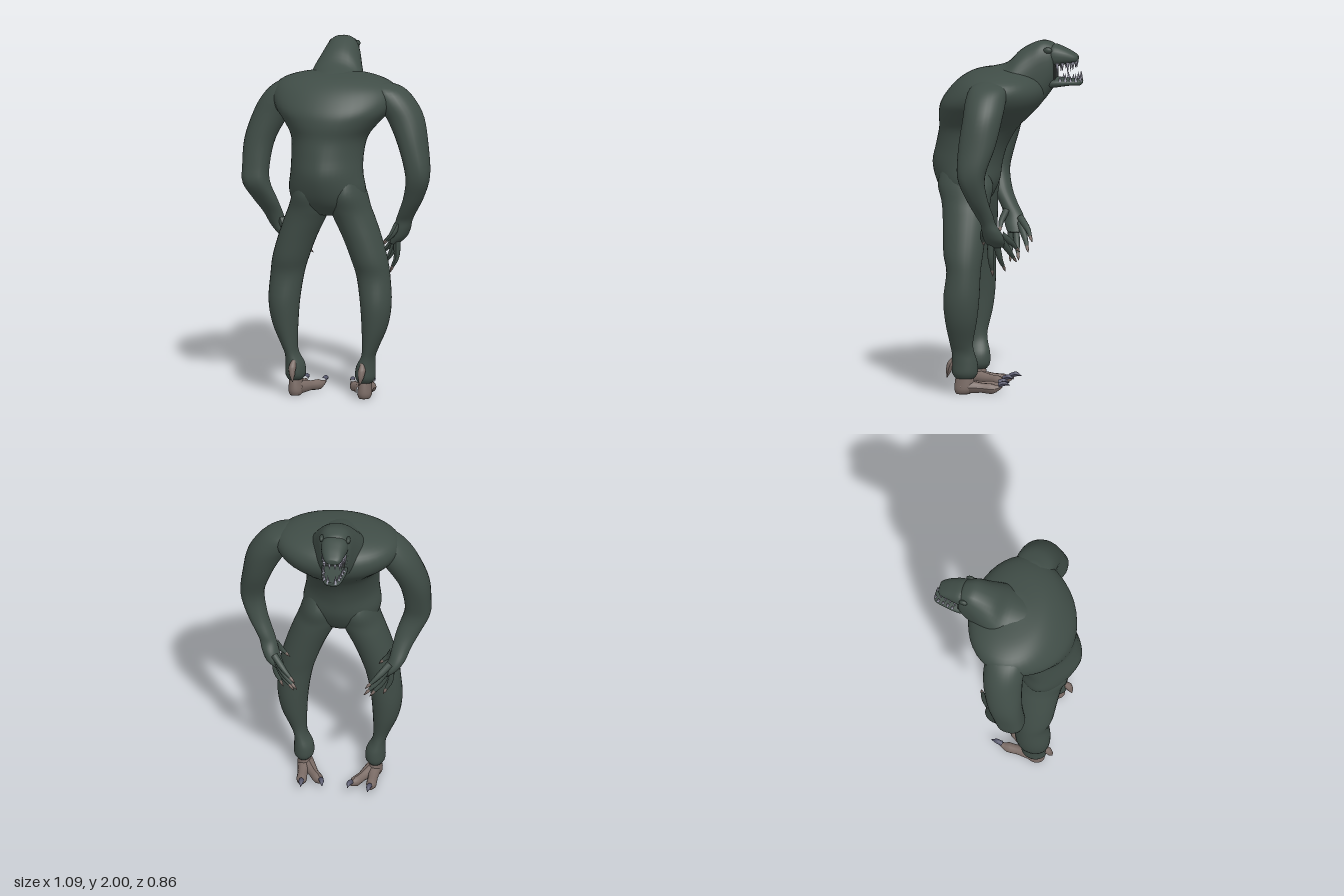
import * as THREE from 'three';

const mat = (name, color) => {
  const m = new THREE.MeshStandardMaterial({ color });
  m.name = name;
  return m;
};

export function createModel() {
  const root = new THREE.Group();
  root.name = 'reptileCreature';
  const skin = mat('darkGreenSkin', 0x404d47);
  const foot = mat('brownFoot', 0x7b6c66);
  const claw = mat('slateClaw', 0x55566a);
  const tooth = mat('paleTooth', 0xa3a2b2);
  const eyeMat = mat('darkEye', 0x39453f);
  const mouthMat = mat('mouthLining', 0x333836);

  const add = (name, geometry, material, parent = root) => {
    const m = new THREE.Mesh(geometry, material);
    m.name = name;
    parent.add(m);
    return m;
  };

  // Smooth skin through rings [t, x0, x1, b0, b1, roundness = 2];
  // t runs along y (b = z) or along z (b = y).
  const loft = (rings, { axis = 'y', side = 1, n = 28, sub = 4 } = {}) => {
    const keys = rings.map(r => [...r.slice(0, 5), r[5] ?? 2]).sort((a, b) => a[0] - b[0]);
    const key = i => keys[Math.min(Math.max(i, 0), keys.length - 1)];
    const rows = [];
    for (let i = 0; i < keys.length - 1; i++)
      for (let k = 0; k < sub; k++) {
        const u = k / sub;
        rows.push(key(i).map((p1, c) => {
          const p0 = key(i - 1)[c], p2 = key(i + 1)[c], p3 = key(i + 2)[c];
          return p1 + 0.5 * u * (p2 - p0 + u * (2 * p0 - 5 * p1 + 4 * p2 - p3 + u * (3 * (p1 - p2) + p3 - p0)));
        }));
      }
    rows.push(key(keys.length - 1));
    const pos = [], idx = [];
    const put = (x, t, b) => (axis === 'y' ? pos.push(x, t, b) : pos.push(x, b, t));
    const tri = (a, b, c) => (axis === 'y' ? idx.push(a, b, c) : idx.push(a, c, b));
    for (const [t, x0, x1, b0, b1, power] of rows) {
      const round = v => Math.sign(v) * Math.abs(v) ** (2 / power);
      for (let j = 0; j < n; j++) {
        const a = (j / n) * Math.PI * 2;
        put(side * (x0 + x1) / 2 + (x1 - x0) / 2 * round(Math.cos(a)), t,
          (b0 + b1) / 2 + (b1 - b0) / 2 * round(Math.sin(a)));
      }
    }
    for (let i = 0; i < rows.length - 1; i++)
      for (let j = 0; j < n; j++) {
        const a = i * n + j, b = i * n + (j + 1) % n;
        tri(a, a + n, b);
        tri(b, a + n, b + n);
      }
    // End caps
    for (const r of [0, rows.length - 1]) {
      const [t, x0, x1, b0, b1] = rows[r], c = pos.length / 3;
      put(side * (x0 + x1) / 2, t, (b0 + b1) / 2);
      for (let j = 0; j < n; j++) {
        const a = r * n + j, b = r * n + (j + 1) % n;
        if (r) tri(c, b, a); else tri(c, a, b);
      }
    }
    const g = new THREE.BufferGeometry();
    g.setAttribute('position', new THREE.Float32BufferAttribute(pos, 3));
    g.setIndex(idx);
    g.computeVertexNormals();
    return g;
  };

  // Tube along points whose radius follows a list
  const taper = (pts, radii, n = 10) => {
    const segs = 12;
    const g = new THREE.TubeGeometry(new THREE.CatmullRomCurve3(pts.map(p => new THREE.Vector3(...p))), segs, 1, n);
    const p = g.attributes.position, nor = g.attributes.normal;
    for (let i = 0; i < p.count; i++) {
      const u = Math.floor(i / (n + 1)) / segs * (radii.length - 1);
      const k = Math.min(Math.floor(u), radii.length - 2);
      const d = THREE.MathUtils.lerp(radii[k], radii[k + 1], u - k) - 1;
      p.setXYZ(i, p.getX(i) + nor.getX(i) * d, p.getY(i) + nor.getY(i) * d, p.getZ(i) + nor.getZ(i) * d);
    }
    g.computeVertexNormals();
    return g;
  };

  // Torso, hunched toward -z, with a ridge low on the back
  add('torso', loft([
    [1.06, -.15, .1, .12, .3], [1.12, -.225, .17, .08, .365, 1.9], [1.2, -.25, .195, .045, .408, 1.75],
    [1.3, -.24, .18, .03, .43, 1.7], [1.4, -.24, .175, 0, .41, 1.8], [1.5, -.25, .19, -.06, .39, 2],
    [1.58, -.3, .25, -.14, .39, 2.1], [1.65, -.36, .31, -.2, .375, 2.1], [1.72, -.385, .335, -.22, .33],
    [1.78, -.35, .3, -.19, .27], [1.82, -.25, .2, -.12, .2], [1.84, -.1, .05, -.03, .1],
  ], { n: 40 }), skin);

  // Neck and skull, then the two open jaws
  const head = new THREE.Group();
  head.name = 'head';
  root.add(head);
  add('neck', loft([
    [.2, -.16, .08, 1.65, 1.81], [.1, -.2, .12, 1.6, 1.842], [0, -.22, .14, 1.54, 1.872],
    [-.07, -.198, .115, 1.56, 1.94], [-.14, -.172, .085, 1.6, 1.982, 2.2], [-.2, -.15, .062, 1.65, 2, 2.6],
    [-.25, -.135, .042, 1.715, 1.99, 2.5], [-.27, -.122, .028, 1.745, 1.976, 2.4],
  ], { axis: 'z', n: 32 }), skin, head);
  add('upperJaw', loft([
    [-.2, -.1, .01, 1.87, 1.95, 2.4], [-.262, -.124, .03, 1.85, 1.98, 2.4], [-.33, -.112, .018, 1.865, 1.958, 2.4],
    [-.38, -.1, -.002, 1.875, 1.93, 2.4], [-.4, -.08, -.02, 1.885, 1.915, 2.4],
  ], { axis: 'z' }), skin, head);
  add('lowerJaw', loft([
    [-.2, -.1, .01, 1.72, 1.78, 2.4], [-.265, -.122, .028, 1.73, 1.79, 2.4], [-.36, -.11, .014, 1.745, 1.782, 2.6],
    [-.41, -.095, -.005, 1.745, 1.782, 2.6], [-.425, -.075, -.025, 1.755, 1.778, 2.6],
  ], { axis: 'z' }), skin, head);
  add('mouthLining', new THREE.BoxGeometry(.12, .1, .008), mouthMat, head).position.set(-.047, 1.82, -.274);

  // Teeth along both jaws, and at their tips
  const addTooth = (x, y, z, len, down) => {
    const t = add('tooth', new THREE.ConeGeometry(.01, len, 8), tooth, head);
    t.position.set(x, y + (down ? -len / 2 : len / 2), z);
    if (down) t.rotation.x = Math.PI;
  };
  for (const s of [-1, 1]) {
    for (let i = 0; i < 4; i++) {
      const z = -.292 - i * .029, w = .062 - i * .006;
      addTooth(-.047 + s * w, 1.875 + i * .003, z, i % 2 ? .05 : .068, true);
      addTooth(-.047 + s * (w - .002), 1.77, z - .016, i % 2 ? .05 : .035, false);
    }
    addTooth(-.05 + s * .016, 1.888, -.392, .045, true);
    addTooth(-.05 + s * .022, 1.767, -.417, .06, false);
    const eye = add('eye', new THREE.SphereGeometry(1, 16, 12), eyeMat, head);
    eye.scale.set(.014, .018, .026);
    eye.position.set(-.046 + s * .076, 1.95, -.24);
  }

  // Elbow and hand rings differ: the right arm bends lower and further back
  const elbows = {
    1: [
      [1.45, .355, .523, -.01, .2, 2.2], [1.28, .405, .54, .045, .2, 2.6], [1.15, .385, .5, .035, .155, 2.3],
      [1.05, .345, .445, .01, .11], [1, .325, .42, 0, .085], [.95, .31, .405, -.03, .08],
    ],
    [-1]: [
      [1.45, .365, .54, 0, .2, 2.2], [1.3, .395, .545, .045, .215, 2.6], [1.2, .39, .54, .065, .22, 2.6],
      [1.1, .355, .49, .045, .165, 2.2], [1.02, .335, .445, .01, .11], [.95, .32, .415, -.03, .08],
    ],
  };

  for (const s of [-1, 1]) {
    // Arm and palm
    const arm = new THREE.Group();
    arm.name = s > 0 ? 'leftArm' : 'rightArm';
    root.add(arm);
    add('arm', loft([
      [1.795, .19, .28, .02, .11], [1.765, .17, .37, -.04, .16], [1.7, .2, .44, -.05, .18],
      [1.6, .28, .495, -.04, .185], ...elbows[s],
      [.9, .295, .38, -.045, .07], [.86, .28, .335, -.035, .05],
    ], { side: s }), skin, arm);

    // Fingers: root, middle and tip, each ending in a claw
    for (const [a, b, c] of [
      [[.33, .94, -.02], [.265, .88, -.075], [.2, .82, -.11]],
      [[.32, .91, -.02], [.26, .83, -.06], [.19, .76, -.09]],
      [[.32, .89, .005], [.28, .79, -.01], [.215, .71, -.03]],
      [[.33, .89, .035], [.325, .78, .035], [.285, .69, .03]],
      [[.34, .98, .06], [.31, .92, .085], [.255, .86, .088]],
    ]) {
      const p = [a, b, c].map(([x, y, z]) => [s * x, y, z]);
      const mix = (u, v, k) => u.map((q, i) => q + (v[i] - q) * k);
      const knuckle = mix(p[1], p[2], .55);
      add('finger', taper([p[0], p[1], knuckle], [.021, .018, .01]), skin, arm);
      add('fingerClaw', taper([mix(p[1], p[2], .48), knuckle, p[2]], [.009, .009, .001], 8), foot, arm);
    }

    // Leg
    const leg = new THREE.Group();
    leg.name = s > 0 ? 'leftLeg' : 'rightLeg';
    leg.position.x = -.015;
    root.add(leg);
    add('leg', loft([
      [1.29, .05, .17, .12, .35], [1.19, .005, .208, .065, .38], [1.1, 0, .235, .075, .358],
      [1.03, .028, .262, .08, .345], [.92, .08, .3, .09, .335], [.8, .125, .333, .1, .325],
      [.7, .155, .347, .11, .305], [.55, .178, .356, .115, .32], [.42, .187, .335, .13, .31],
      [.3, .19, .285, .155, .29], [.24, .183, .262, .15, .28], [.18, .152, .26, .135, .28],
      [.12, .147, .26, .135, .28], [.09, .165, .245, .155, .26],
    ], { side: s }), skin, leg);

    // Foot: heel, two clawed toes and a rear spur
    add('heel', loft([
      [0, .17, .232, .18, .258], [.025, .16, .242, .16, .268], [.07, .165, .24, .155, .265],
      [.13, .172, .236, .165, .255],
    ], { side: s }), foot, leg);
    const bend = pts => pts.map(([x, y, z]) => [s * x, y, z]);
    add('outerToe', taper(bend([[.2, .042, .23], [.2, .036, .11], [.198, .032, .04], [.195, .045, -.005]]),
      [.042, .036, .028, .03, .006]), foot, leg);
    add('innerToe', taper(bend([[.195, .042, .22], [.14, .036, .12], [.1, .034, .06], [.075, .045, .02]]),
      [.042, .036, .028, .03, .006]), foot, leg);
    add('outerClaw', taper(bend([[.195, .052, .015], [.193, .062, -.015], [.19, .052, -.05]]), [.015, .014, .001]), claw, leg);
    add('innerClaw', taper(bend([[.085, .052, .035], [.078, .062, .005], [.072, .05, -.025]]), [.015, .014, .001]), claw, leg);
    add('rearSpur', taper(bend([[.2, .205, .268], [.203, .16, .292], [.196, .09, .312]]), [.012, .022, .016, .002]), foot, leg);
  }
  return root;
}
